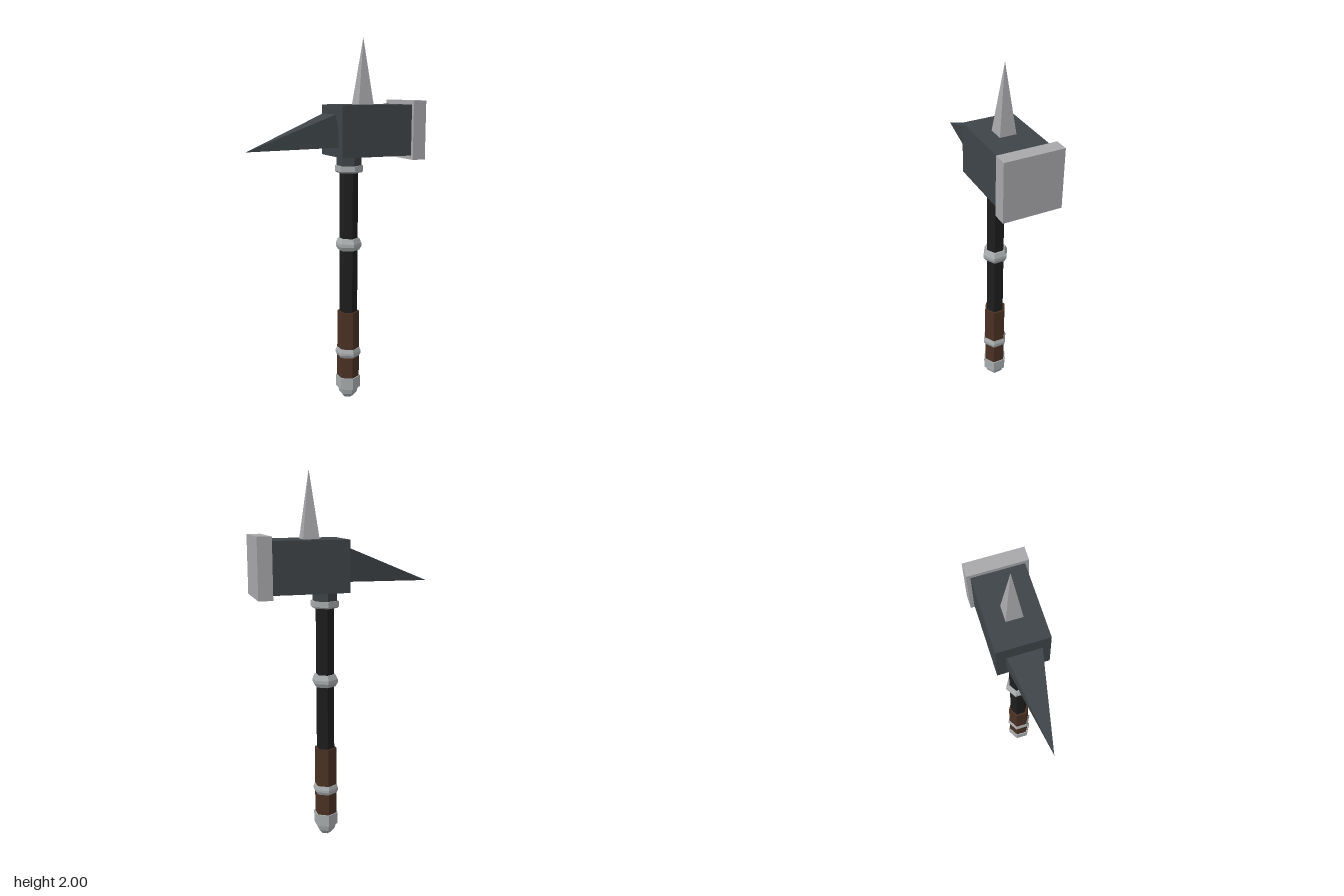
import * as THREE from 'three';

export function createModel() {
  const group = new THREE.Group();
  group.name = 'warHammer';

  const mat = (name, color) => {
    const m = new THREE.MeshStandardMaterial({ color, flatShading: true });
    m.name = name;
    return m;
  };
  const iron = mat('dark iron', 0x3e4448);
  const steel = mat('steel', 0xa8a8ab);
  const silver = mat('silver', 0xa8acad);
  const black = mat('black wood', 0x1d1d1e);
  const leather = mat('brown leather', 0x4b3123);

  const add = (name, geometry, material, x, y, z = 0) => {
    const mesh = new THREE.Mesh(geometry, material);
    mesh.name = name;
    mesh.position.set(x, y, z);
    group.add(mesh);
    return mesh;
  };

  // Six-sided parts on the handle axis, from [radius, y] profiles closed at both ends
  const HANDLE_X = 0.1;
  const hex = (name, material, profile) => {
    const bottom = profile[0][1];
    const top = profile[profile.length - 1][1];
    const points = [[0, bottom], ...profile, [0, top]].map(([r, y]) => new THREE.Vector2(r, y));
    return add(name, new THREE.LatheGeometry(points, 6), material, HANDLE_X, 0);
  };

  // Handle
  hex('pommel', silver, [[0.028, 0], [0.05, 0.025], [0.058, 0.055], [0.069, 0.058], [0.069, 0.125]]);
  hex('grip', leather, [[0.062, 0.12], [0.062, 0.51]]);
  hex('shaft', black, [[0.05, 0.5], [0.05, 1.3]]);
  hex('neck', iron, [[0.067, 1.32], [0.067, 1.39]]);

  // Metal bands
  hex('gripBand', silver, [[0.062, 0.245], [0.071, 0.262], [0.071, 0.275], [0.063, 0.296]]);
  hex('shaftBand', silver, [[0.058, 0.863], [0.071, 0.885], [0.071, 0.903], [0.058, 0.93]]);
  hex('neckBand', silver, [[0.069, 1.292], [0.077, 1.3], [0.077, 1.33]]);

  // Head and striking face
  add('headBlock', new THREE.BoxGeometry(0.405, 0.27, 0.27), iron, 0.2025, 1.517);
  add('strikingFace', new THREE.BoxGeometry(0.075, 0.314, 0.31), steel, 0.4425, 1.517);

  // Square pyramid with flat sides facing the axes
  const pyramid = (halfWidth, height) =>
    new THREE.ConeGeometry(halfWidth * Math.SQRT2, height, 4).rotateY(Math.PI / 4);

  // Top spike
  add('topSpike', pyramid(0.045, 0.36), steel, 0.18, 1.82);

  // Back beak, drooping slightly
  const beak = add('backBeak', pyramid(0.087, 0.486), iron, -0.2375, 1.469);
  beak.rotation.z = Math.PI / 2 + Math.atan2(0.1, 0.475);

  return group;
}
